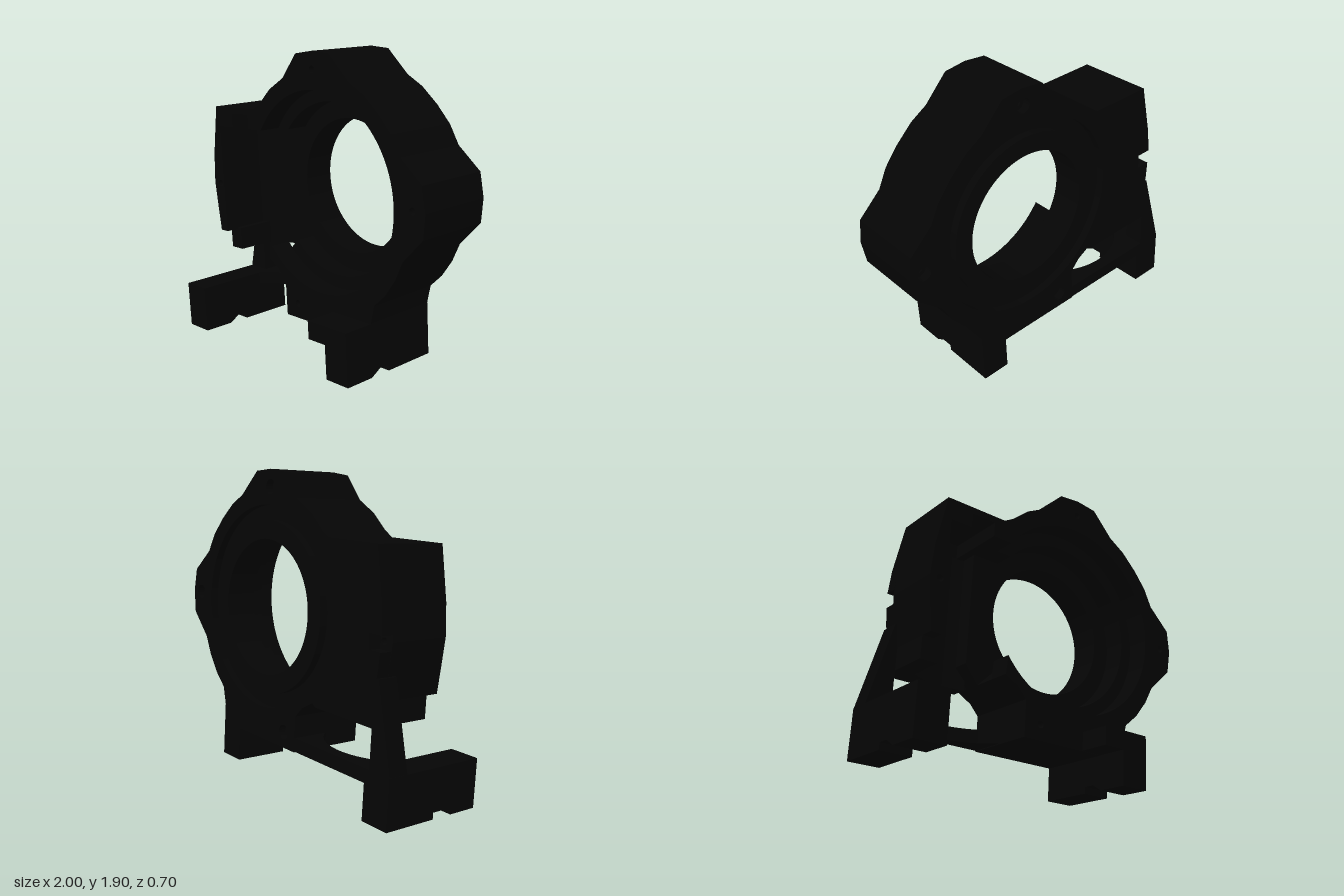
import * as THREE from 'three';

const CX = 0.165, CY = 1.03; // bore axis
const POCKET = { left: -0.77, right: -0.42, low: 0.66, high: 1.37 };
const RECESS = { x: -0.5, z: 0.486, r: 0.406 }; // upright cylinder cut into the pocket

// Outer contour, clockwise from the upper left down to the lower bore wall
const CONTOUR = [
  [-0.8, 1.5], [-0.4, 1.5], [-0.34, 1.535], [-0.23, 1.63], [-0.1, 1.7], [0.03, 1.845],
  [0.17, 1.86], [0.31, 1.845], [0.46, 1.695], [0.57, 1.63], [0.68, 1.53], [0.77, 1.425],
  [0.83, 1.31], [0.98, 1.175], [1, 1.03], [0.98, 0.885], [0.83, 0.74], [0.77, 0.625],
  [0.69, 0.52], [0.6, 0.44], [0.57, 0.33], [0.57, 0.21], [-0.18, 0.21], [-0.18, 0.43],
  [-0.24, 0.495], [-0.33, 0.545],
];
// Lower left edge of the back wall, and the wall left of the pocket
const BACK_LOWER = [[-0.36, 0.527], [-0.73, 0.527], [-0.84, 0.527], [-0.84, 0.71], [-0.86, 0.84]];
const FRONT_LOWER = [[-0.84, 0.66], [-0.86, 0.84]];
const SIDE_NOTCH = [[-0.868, 0.94], [-0.78, 0.94], [-0.78, 1.03], [-0.874, 1.03], [-0.86, 1.18]];
const LEFT_EDGE = [[-0.875, 0.99], [-0.86, 1.18]];
const SCREWS = [[0.165, 1.755], [0.91, 1.03], [-0.07, 0.305]];
const LEFT_SCREW = [-0.81, 0.985];

const toPoints = (list) => list.map(([x, y]) => new THREE.Vector2(x, y));

function circle(x, y, r) {
  const path = new THREE.Path();
  path.absarc(x, y, r, 0, Math.PI * 2, false);
  return path;
}

// Back slice: a plate with a round bore and a notch in its side
function backShape(r) {
  const shape = new THREE.Shape(toPoints([...CONTOUR, ...BACK_LOWER, ...SIDE_NOTCH]));
  shape.holes.push(circle(CX, CY, r));
  return shape;
}

// Front slice: the pocket is open at the bottom, and may run into the bore
function frontShape(r, merged) {
  const shape = new THREE.Shape(toPoints(CONTOUR));
  if (merged) {
    const bottom = -Math.PI + Math.asin((CY - POCKET.low) / r);
    const top = Math.PI - Math.asin((POCKET.high - CY) / r);
    shape.absarc(CX, CY, r, bottom, top, false);
  } else {
    shape.lineTo(POCKET.right, POCKET.low);
    shape.lineTo(POCKET.right, POCKET.high);
    shape.holes.push(circle(CX, CY, r));
  }
  const rest = [
    [-0.47, POCKET.high], [-0.47, 1.46], [-0.63, 1.46], [-0.63, POCKET.high],
    [POCKET.left, POCKET.high], [POCKET.left, POCKET.low], ...FRONT_LOWER, ...LEFT_EDGE,
  ];
  for (const [x, y] of rest) shape.lineTo(x, y);
  shape.holes.push(circle(...LEFT_SCREW, 0.022));
  return shape;
}

function slab(shape, z0, z1) {
  const geo = new THREE.ExtrudeGeometry(shape, {
    depth: z1 - z0, bevelEnabled: false, curveSegments: 48,
  });
  geo.translate(0, 0, z0);
  return geo;
}

// Upright wall whose front is hollowed by the recess cylinder
function hollowWall(x0, x1, y0, y1, back) {
  const points = [[x1, -back], [x0, -back]];
  for (let i = 0; i <= 20; i++) {
    const x = x0 + (x1 - x0) * i / 20;
    points.push([x, Math.sqrt(RECESS.r ** 2 - (x - RECESS.x) ** 2) - RECESS.z]);
  }
  const geo = slab(new THREE.Shape(toPoints(points)), y0, y1);
  geo.rotateX(-Math.PI / 2);
  return geo;
}

function box(x0, x1, y0, y1, z0, z1) {
  const geo = new THREE.BoxGeometry(x1 - x0, y1 - y0, z1 - z0);
  geo.translate((x0 + x1) / 2, (y0 + y1) / 2, (z0 + z1) / 2);
  return geo;
}

export function createModel() {
  const black = new THREE.MeshStandardMaterial({ color: 0x050505 });
  black.name = 'black';

  const housing = new THREE.Group();
  housing.name = 'housing';
  const add = (name, geo) => {
    const mesh = new THREE.Mesh(geo, black);
    mesh.name = name;
    housing.add(mesh);
  };

  // Housing body in slices from back to front, each with its own bore
  const slices = [
    { name: 'backRim', z: [0, 0.05], shape: backShape(0.62), screw: 0.045 },
    { name: 'backPlate', z: [0.05, 0.08], shape: backShape(0.415), screw: 0.022 },
    { name: 'boreLip', z: [0.08, 0.2], shape: frontShape(0.415, false), screw: 0.022 },
    { name: 'frontStep', z: [0.2, 0.34], shape: frontShape(0.53, true), screw: 0.022 },
    { name: 'frontRim', z: [0.34, 0.482], shape: frontShape(0.61, true), screw: 0.022 },
  ];
  for (const { name, z, shape, screw } of slices) {
    for (const [x, y] of SCREWS) shape.holes.push(circle(x, y, screw));
    add(name, slab(shape, ...z));
  }

  // Raised ring around the bore, inside the groove on the back
  const ring = new THREE.Shape(circle(CX, CY, 0.53).getPoints(48));
  ring.holes.push(circle(CX, CY, 0.415));
  add('boreRing', slab(ring, 0, 0.05));

  // Curved back of the pocket, and the lug under its left wall
  add('pocketBack', hollowWall(-0.77, -0.36, 0.527, POCKET.high, 0.07));
  add('pocketLug', box(-0.84, -0.73, 0.525, 0.67, 0.07, 0.4));

  // Feet: side profile (depth, height) with a notch underneath, swept across x
  const foot = (name, x0, x1, height) => {
    const profile = [[0, 0], [0.35, 0], [0.35, 0.04], [0.42, 0.04], [0.49, 0],
      [0.682, 0], [0.682, height], [0, height]];
    const shape = new THREE.Shape(toPoints(profile.map(([z, y]) => [-z, y])));
    const geo = slab(shape, x0, x1);
    geo.rotateY(Math.PI / 2);
    add(name, geo);
  };
  foot('rightFoot', -1, -0.805, 0.297);
  foot('leftFoot', 0.39, 0.57, 0.325);

  // Ledge beside the left foot
  add('footLedge', box(0.25, 0.4, 0.212, 0.325, 0.47, 0.682));

  // Slanted strut and hollowed lower tie bar along the back
  add('strut', slab(new THREE.Shape(toPoints([
    [-1, 0.29], [-0.84, 0.29], [-0.84, 0.6], [-0.8, 0.8], [-0.868, 0.8],
  ])), 0, 0.13));
  add('tieBar', hollowWall(-0.83, -0.17, 0.216, 0.297, 0));

  // The whole housing leans slightly forward
  housing.rotation.x = 0.064;
  housing.position.set(0, 0.0435, -0.348);

  const model = new THREE.Group();
  model.name = 'model';
  model.add(housing);
  return model;
}
